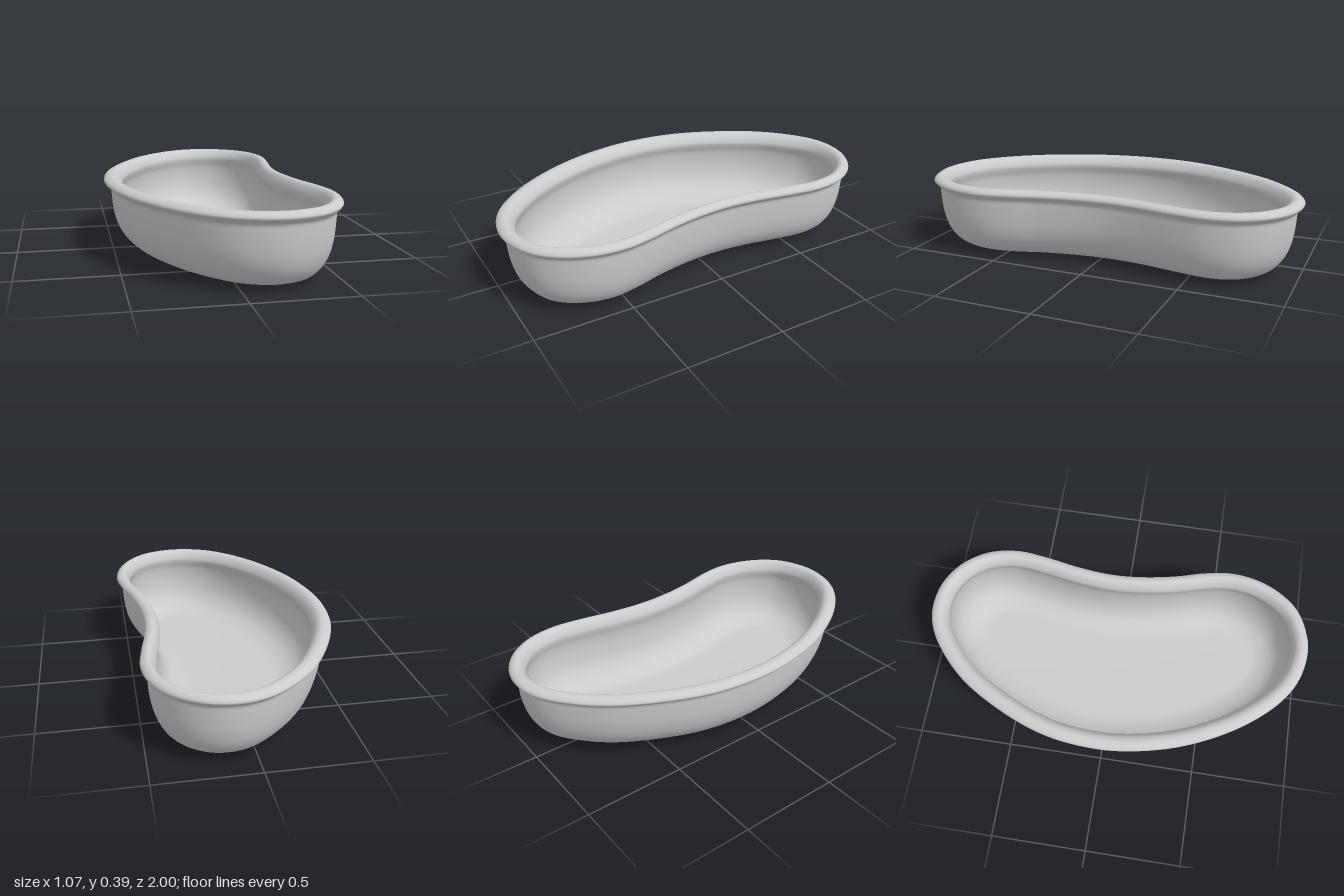
import * as THREE from 'three';

// Kidney outline of the rim, as [x, z], clockwise seen from above
const OUTLINE = [
  [0.10, -1.0], [0.24, -0.98], [0.37, -0.90], [0.46, -0.77], [0.493, -0.61], [0.478, -0.45],
  [0.445, -0.26], [0.43, -0.08], [0.44, 0.08], [0.473, 0.26], [0.515, 0.41], [0.537, 0.555],
  [0.518, 0.70], [0.46, 0.83], [0.37, 0.93], [0.25, 0.985], [0.14, 1.0], [-0.015, 0.967],
  [-0.15, 0.883], [-0.318, 0.688], [-0.459, 0.41], [-0.526, 0.14], [-0.537, -0.05],
  [-0.508, -0.28], [-0.42, -0.518], [-0.278, -0.758], [-0.118, -0.913], [-0.01, -0.976],
];

// Thin wall section as [inward offset, y]: underside, outer wall, rolled rim, inner wall, floor
const SECTION = [
  [0.25, 0.004], [0.225, 0.006], [0.19, 0.012], [0.14, 0.031], [0.1, 0.062], [0.064, 0.12],
  [0.043, 0.2], [0.035, 0.29], [0.032, 0.325], [0.017, 0.341], [0.001, 0.357], [0.006, 0.371],
  [0.025, 0.383], [0.045, 0.385], [0.063, 0.376], [0.078, 0.356], [0.087, 0.332], [0.083, 0.308],
  [0.074, 0.275], [0.074, 0.2], [0.091, 0.125], [0.122, 0.073], [0.157, 0.043], [0.2, 0.023],
  [0.228, 0.016], [0.25, 0.014],
];

const AROUND = 160;

function smoothCurve(points, closed) {
  return new THREE.CatmullRomCurve3(
    points.map(([a, b]) => new THREE.Vector3(a, b, 0)), closed, 'centripetal');
}

// Rim points with inward normals, averaged over neighbours for an even offset;
// the rim is a little wider on the convex side (-x) than on the concave one
function rimFrames() {
  const pts = smoothCurve(OUTLINE, true).getSpacedPoints(AROUND).slice(0, AROUND);
  const at = (i) => pts[(i + AROUND) % AROUND];
  return pts.map((p, i) => {
    const t = new THREE.Vector3();
    for (let k = 1; k <= 6; k++) t.add(at(i + k)).sub(at(i - k));
    t.normalize();
    const width = 1 - 0.13 * t.y;
    return { x: p.x, z: p.y, nx: -t.y * width, nz: t.x * width };
  });
}

// Sweeps the section around the rim and closes the floor to its middle
function bowlGeometry() {
  const frames = rimFrames();
  const rings = smoothCurve(SECTION, false).getPoints(75)
    .map((p) => ({ offset: p.x, y: p.y, scale: 1 }));
  const floorRing = (y, scale) => ({ offset: 0.25, y, scale });
  rings.unshift(floorRing(0, 0), floorRing(0.001, 0.5), floorRing(0.003, 0.9));
  rings.push(floorRing(0.013, 0.9), floorRing(0.012, 0.5), floorRing(0.012, 0));

  const positions = [], indices = [];
  const cx = 0.03;
  for (const r of rings) {
    for (const f of frames) {
      const x = f.x + f.nx * r.offset, z = f.z + f.nz * r.offset;
      positions.push(cx + (x - cx) * r.scale, r.y, z * r.scale);
    }
  }
  for (let j = 0; j < rings.length - 1; j++) {
    for (let i = 0; i < AROUND; i++) {
      const a = j * AROUND + i, b = j * AROUND + (i + 1) % AROUND;
      const c = a + AROUND, d = b + AROUND;
      if (rings[j + 1].scale > 0) indices.push(a, c, d);
      else indices.push(a, c, b);
      if (rings[j].scale > 0 && rings[j + 1].scale > 0) indices.push(a, d, b);
    }
  }
  const geometry = new THREE.BufferGeometry();
  geometry.setAttribute('position', new THREE.Float32BufferAttribute(positions, 3));
  geometry.setIndex(indices);
  geometry.computeVertexNormals();
  return geometry;
}

export function createModel() {
  const group = new THREE.Group();
  group.name = 'kidneyDish';
  const bowl = new THREE.Mesh(bowlGeometry(), new THREE.MeshStandardMaterial({ color: 0xcccccc }));
  bowl.name = 'bowlWithRolledRim';
  group.add(bowl);
  return group;
}
